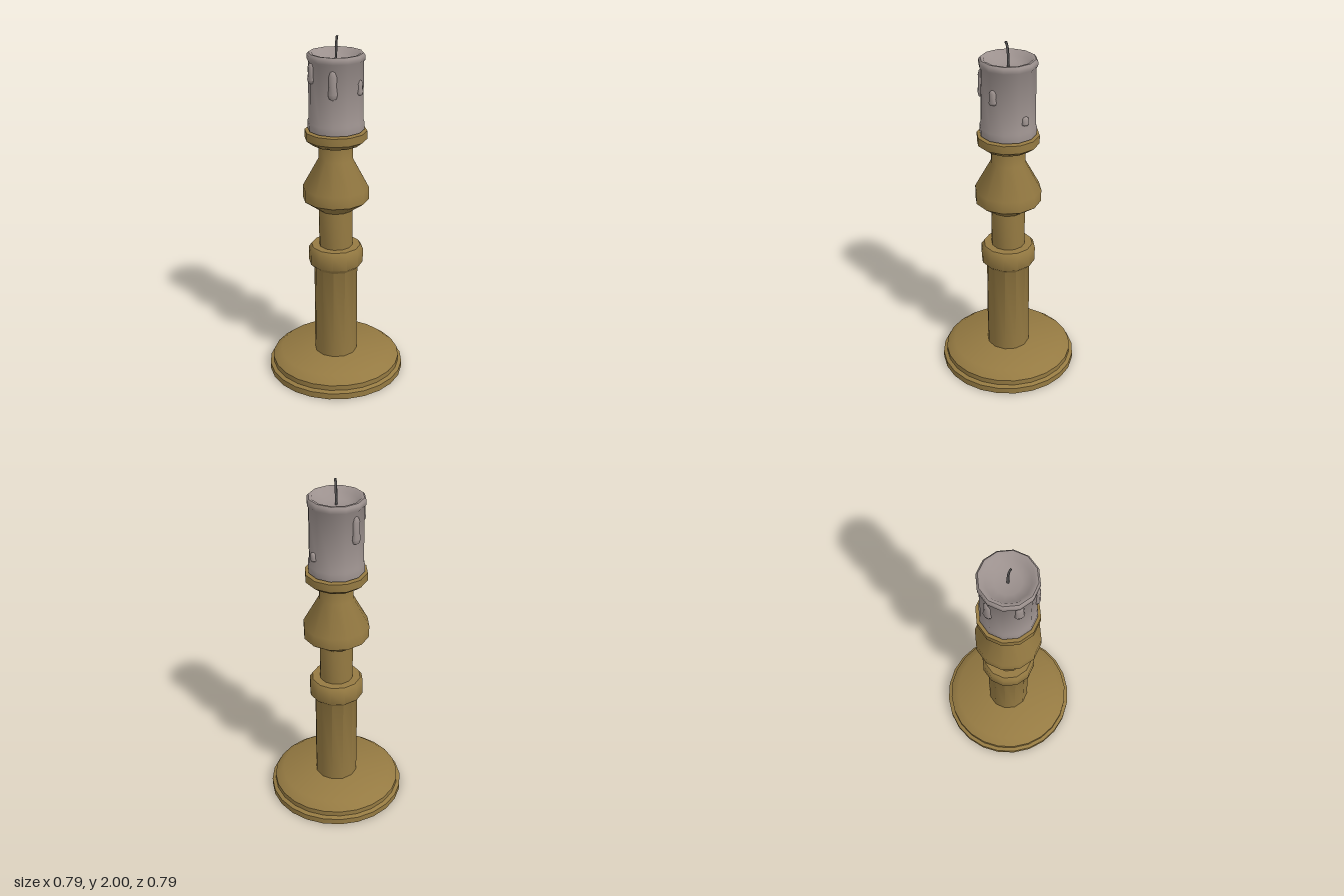
import * as THREE from 'three';
import { toCreasedNormals } from 'three/addons/utils/BufferGeometryUtils.js';

const brass = new THREE.MeshStandardMaterial({ color: 0x957a42 });
const wax = new THREE.MeshStandardMaterial({ color: 0x9c918e });
const soot = new THREE.MeshStandardMaterial({ color: 0x5c5a5a });

// Turned part from [radius, height] pairs, bottom to top
function turned(name, profile, sides, material, crease = 0.85) {
  const points = profile.map(([r, y]) => new THREE.Vector2(r, y));
  const geometry = toCreasedNormals(new THREE.LatheGeometry(points, sides), crease);
  const mesh = new THREE.Mesh(geometry, material);
  mesh.name = name;
  return mesh;
}

// Wax run: a flattened teardrop, heavier at its lower end, lying on the candle wall
function drip(x, z, top, bottom, width) {
  const h = top - bottom;
  const profile = [[0, 0], [0.38, 0.06], [0.5, 0.2], [0.4, 0.45], [0.42, 0.8], [0.25, 0.95], [0, 1]];
  const mesh = turned('waxDrip', profile, 8, wax, 1.2);
  mesh.scale.set(width, h, 0.036);
  const angle = Math.atan2(x, z);
  mesh.position.set(Math.sin(angle) * 0.147, bottom, Math.cos(angle) * 0.147);
  mesh.rotation.y = angle;
  return mesh;
}

export function createModel() {
  const model = new THREE.Group();
  model.name = 'candlestick';

  // Round foot
  model.add(turned('base', [
    [0, 0], [0.396, 0], [0.396, 0.036], [0.375, 0.046], [0.375, 0.076], [0.327, 0.115], [0, 0.115],
  ], 24, brass));

  // Turned stem with collar, bulb and drip pan
  model.add(turned('stem', [
    [0.125, 0.11], [0.125, 0.66], [0.156, 0.69], [0.156, 0.772], [0.14, 0.795], [0.096, 0.795],
    [0.096, 1.015], [0.187, 1.08], [0.187, 1.148], [0.096, 1.315], [0.096, 1.403],
    [0.135, 1.403], [0.173, 1.432], [0.173, 1.478], [0, 1.478],
  ], 12, brass));

  // Candle with a flared foot, rolled rim and dished top
  model.add(turned('candle', [
    [0, 1.486], [0.156, 1.486], [0.156, 1.53], [0.15, 1.545], [0.15, 1.86], [0.158, 1.872],
    [0.158, 1.895], [0.148, 1.907], [0.132, 1.905], [0.115, 1.88], [0.07, 1.862], [0, 1.858],
  ], 12, wax, 1));

  // Wax runs: x, z, top, bottom, width
  const drips = new THREE.Group();
  drips.name = 'waxDrips';
  for (const d of [
    [-0.08, 0.135, 1.84, 1.68, 0.052],
    [0.09, 0.125, 1.775, 1.69, 0.048],
    [-0.156, 0.005, 1.865, 1.75, 0.055],
    [0.15, -0.045, 1.625, 1.575, 0.046],
    [-0.068, -0.142, 1.84, 1.68, 0.056],
  ]) drips.add(drip(...d));
  model.add(drips);

  // Bent wick, drawn to a point
  const path = new THREE.CatmullRomCurve3([
    [0, 1.85, 0], [0.001, 1.91, 0], [0.001, 1.965, 0.004], [0.001, 1.998, 0.013],
  ].map((p) => new THREE.Vector3(...p)));
  const wick = new THREE.Mesh(new THREE.TubeGeometry(path, 6, 0.007, 4), soot);
  wick.name = 'wick';
  model.add(wick);
  const tip = new THREE.Mesh(new THREE.SphereGeometry(0.007, 4, 3), soot);
  tip.name = 'wickTip';
  tip.position.set(0.001, 1.993, 0.013);
  model.add(tip);

  return model;
}
